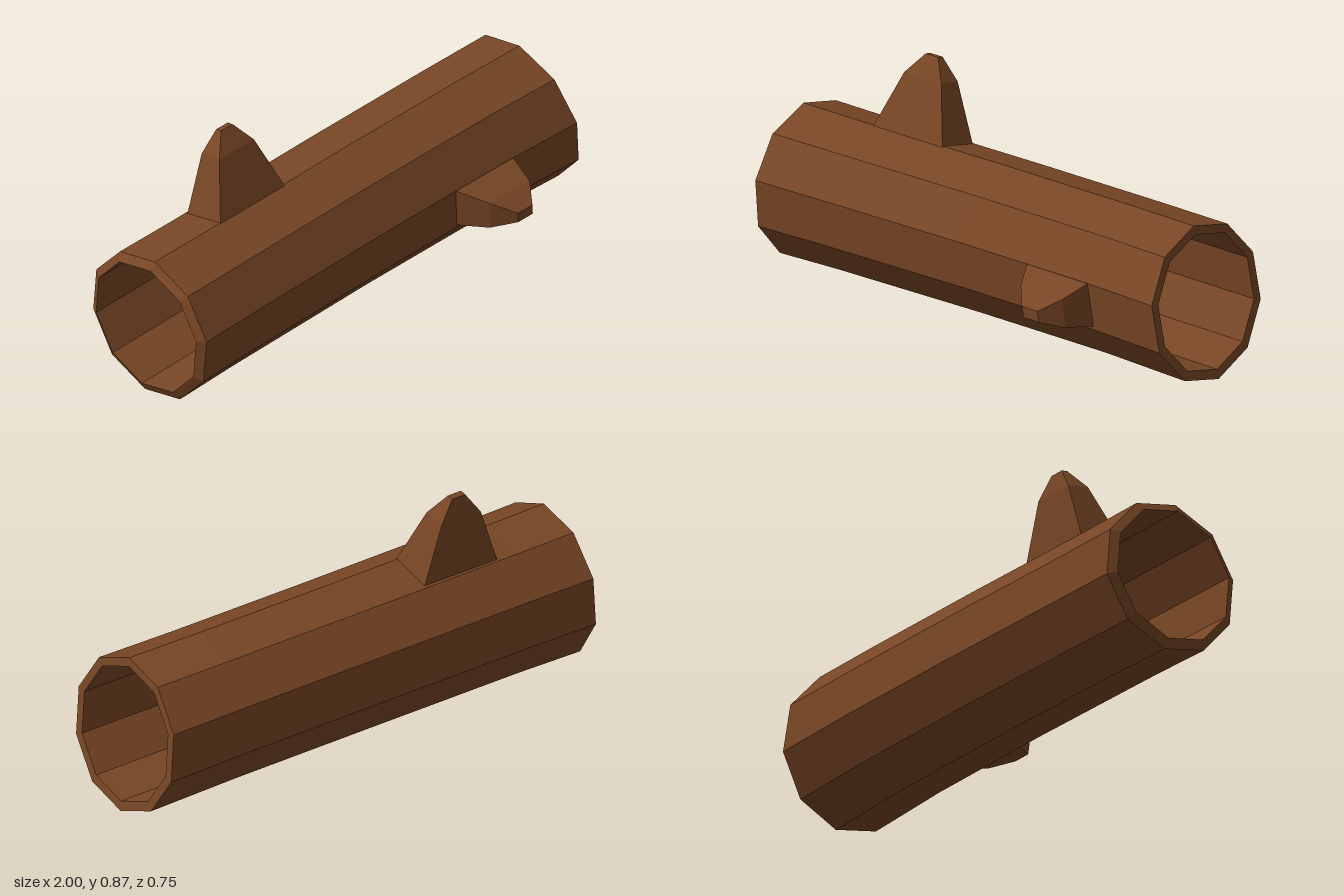
import * as THREE from 'three';

const SIDES = 10;

// Skin a list of rings (equal point counts); flat facets, optional cap on the last ring
function loft(rings, cap) {
  const pos = [];
  const quad = (a, b, c, d) => pos.push(...a, ...b, ...c, ...a, ...c, ...d);
  for (let i = 0; i < rings.length - 1; i++) {
    const r = rings[i], s = rings[i + 1], n = r.length;
    for (let j = 0; j < n; j++) quad(r[j], r[(j + 1) % n], s[(j + 1) % n], s[j]);
  }
  if (cap) quad(...rings[rings.length - 1]);
  const geometry = new THREE.BufferGeometry();
  geometry.setAttribute('position', new THREE.Float32BufferAttribute(pos, 3));
  geometry.computeVertexNormals();
  return geometry;
}

// Ten-sided ring across the log; slant tilts the cut along x
function logRing(x, cy, cz, radius, slant = 0) {
  return Array.from({ length: SIDES }, (_, i) => {
    const a = THREE.MathUtils.degToRad(4.8 + i * 36);
    const y = cy + radius * Math.cos(a);
    return [x - slant * y, y, cz + radius * Math.sin(a)];
  });
}

export function createModel() {
  const group = new THREE.Group();
  group.name = 'hollowLog';
  const bark = new THREE.MeshStandardMaterial({ color: 0x784625, flatShading: true });
  bark.name = 'brown bark';

  const add = (name, geometry) => {
    const mesh = new THREE.Mesh(geometry, bark);
    mesh.name = name;
    group.add(mesh);
  };

  // Hollow trunk: outside, slanted rim, inside, then back to the first ring
  const start = logRing(-0.98, 0.296, -0.09, 0.297);
  add('trunk', loft([
    start,
    logRing(-0.7, 0.299, -0.092, 0.293),
    logRing(0, 0.304, -0.098, 0.292),
    logRing(0.6, 0.305, -0.097, 0.293),
    logRing(1, 0.301, -0.091, 0.298, 0.13),
    logRing(1, 0.303, -0.091, 0.262, 0.13),
    logRing(0, 0.304, -0.098, 0.257),
    logRing(-1, 0.298, -0.09, 0.262),
    start,
  ]));

  // Upright stub: each ring gives x range, then front and back (z, y)
  const upright = [
    [-0.64, -0.30, -0.063, 0.585, -0.235, 0.54],
    [-0.56, -0.38, -0.147, 0.797, -0.237, 0.78],
    [-0.50, -0.44, -0.197, 0.87, -0.222, 0.865],
  ].map(([x0, x1, zf, yf, zb, yb]) =>
    [[x0, yf, zf], [x1, yf, zf], [x1, yb, zb], [x0, yb, zb]]);
  add('topBranchStub', loft(upright, true));

  // Front stub: each ring gives lower and upper edges as (x0, x1, y, z)
  const forward = [
    [0.34, 0.655, 0.20, 0.15, 0.32, 0.635, 0.378, 0.165],
    [0.405, 0.61, 0.222, 0.29, 0.40, 0.605, 0.335, 0.297],
    [0.475, 0.55, 0.25, 0.367, 0.47, 0.545, 0.293, 0.37],
  ].map(([a0, a1, ya, za, b0, b1, yb, zb]) =>
    [[a0, ya, za], [a1, ya, za], [b1, yb, zb], [b0, yb, zb]]);
  add('frontBranchStub', loft(forward, true));

  return group;
}
